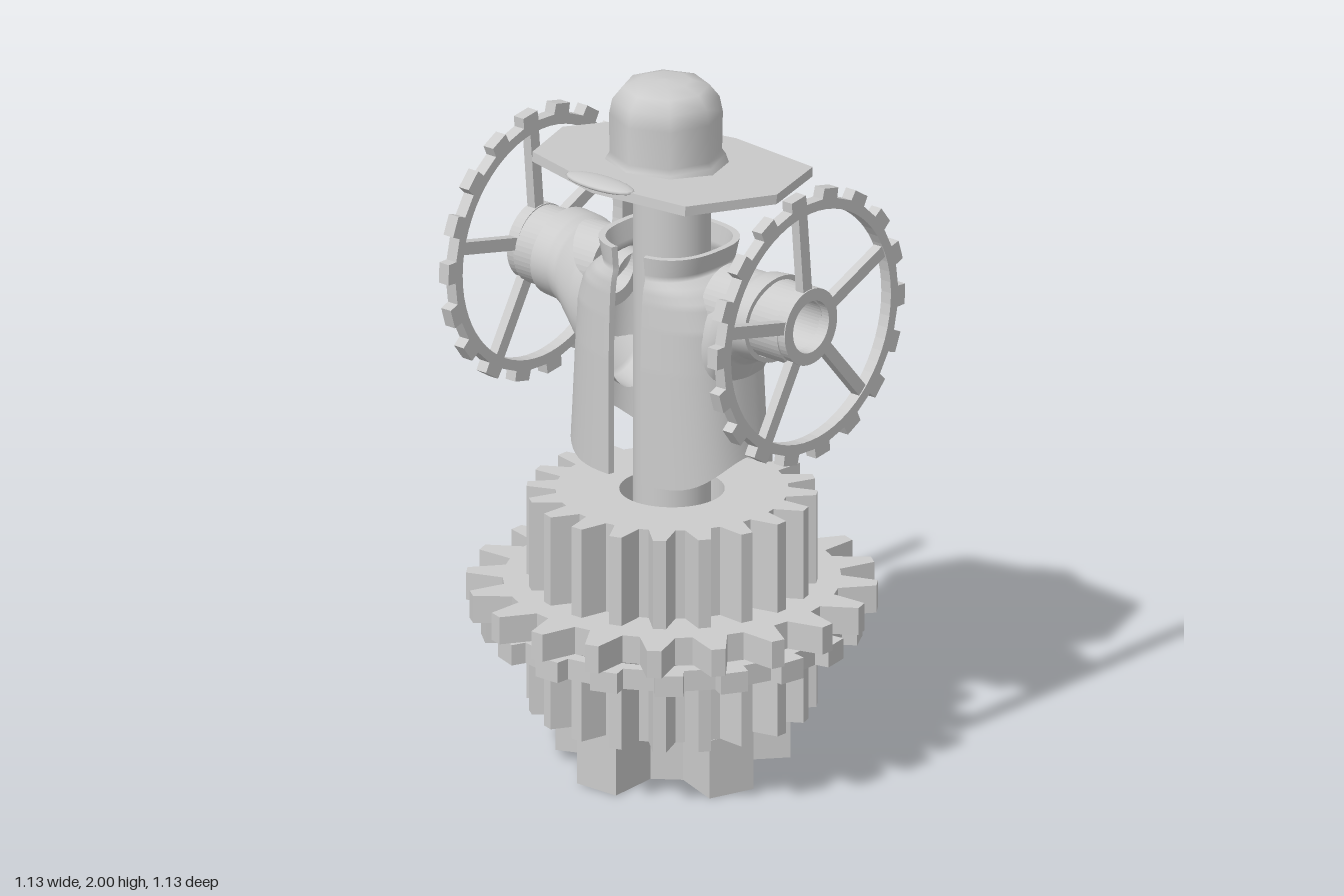
import * as THREE from 'three';
import { ParametricGeometry } from 'three/addons/geometries/ParametricGeometry.js';

const material = new THREE.MeshStandardMaterial({ color: 0xcccccc });
const flat = new THREE.MeshStandardMaterial({ color: 0xcccccc, flatShading: true });
const cloth = new THREE.MeshStandardMaterial({ color: 0xcccccc, side: THREE.DoubleSide });

function add(parent, name, geometry, mat = material) {
  const mesh = new THREE.Mesh(geometry, mat);
  mesh.name = name;
  parent.add(mesh);
  return mesh;
}

// Toothed disc in the XY plane; root and tip are tooth half-angles in radians
function gearGeometry({ teeth, rRoot, rTip, root, tip, hole, depth, start = Math.PI / 2 }) {
  const shape = new THREE.Shape();
  const points = [];
  for (let i = 0; i < teeth; i++) {
    const a = start + (i / teeth) * Math.PI * 2;
    for (const [r, off] of [[rRoot, -root], [rTip, -tip], [rTip, tip], [rRoot, root]]) {
      points.push(new THREE.Vector2(r * Math.cos(a + off), r * Math.sin(a + off)));
    }
  }
  shape.setFromPoints(points);
  if (hole) shape.holes.push(new THREE.Path().absarc(0, 0, hole, 0, Math.PI * 2, true));
  return new THREE.ExtrudeGeometry(shape, { depth, bevelEnabled: false, curveSegments: 32 });
}

function ringGeometry(outer, inner, depth) {
  const shape = new THREE.Shape().absarc(0, 0, outer, 0, Math.PI * 2, false);
  shape.holes.push(new THREE.Path().absarc(0, 0, inner, 0, Math.PI * 2, true));
  return new THREE.ExtrudeGeometry(shape, { depth, bevelEnabled: false, curveSegments: 24 });
}

// Spoked wheel with square teeth, facing z and centred on its thickness
function spokedWheel(name) {
  const wheel = new THREE.Group();
  wheel.name = name;
  const t = 0.035;
  add(wheel, 'rim', gearGeometry({
    teeth: 18, rRoot: 0.365, rTip: 0.395, root: 0.085, tip: 0.075, hole: 0.335, depth: t, start: 1.7,
  })).position.z = -t / 2;
  add(wheel, 'hub', ringGeometry(0.11, 0.075, t)).position.z = -t / 2;
  for (let i = 0; i < 5; i++) {
    const a = THREE.MathUtils.degToRad(95 + i * 72);
    const spoke = add(wheel, 'spoke', new THREE.BoxGeometry(0.25, 0.036, t * 0.8));
    spoke.position.set(Math.cos(a) * 0.222, Math.sin(a) * 0.222, 0);
    spoke.rotation.z = a;
  }
  return wheel;
}

// Interpolates rows whose first entry is the key
function sample(rows, key) {
  let i = 0;
  while (i < rows.length - 2 && key > rows[i + 1][0]) i++;
  const k = THREE.MathUtils.clamp((key - rows[i][0]) / (rows[i + 1][0] - rows[i][0]), 0, 1);
  return rows[i].map((v, j) => v + (rows[i + 1][j] - v) * k);
}

// Coat body: height, half width, front depth, back depth
const coatRows = [
  [0.88, 0.295, 0.2, 0.165], [1.05, 0.285, 0.2, 0.165], [1.22, 0.275, 0.2, 0.165],
  [1.34, 0.268, 0.197, 0.165], [1.41, 0.245, 0.194, 0.162], [1.45, 0.21, 0.19, 0.158],
  [1.475, 0.165, 0.184, 0.15], [1.545, 0.182, 0.19, 0.158],
];

function coatPoint(u, v, t, target) {
  const e = 0.75;
  const y = 0.88 + v * 0.665;
  const [, hw, front, back] = sample(coatRows, y);
  const inset = t * 0.018;
  const gap = Math.asin(Math.pow(0.058 / hw, 1 / e));
  const a = gap + u * (Math.PI * 2 - gap * 2);
  const s = Math.sin(a), c = Math.cos(a);
  const bend = (n) => Math.sign(n) * Math.pow(Math.abs(n), e);
  // The hem rises in an arch at both sides
  const lift = 0.09 * Math.pow(s, 4) * Math.pow(1 - v, 3);
  target.set((hw - inset) * bend(s), y + lift, ((c > 0 ? front : back) - inset) * bend(c));
}

function createCoat() {
  const coat = new THREE.Group();
  coat.name = 'coat';
  const sheet = (name, fn, nu, nv) => add(coat, name, new ParametricGeometry(fn, nu, nv), cloth);
  sheet('coatOutside', (u, v, p) => coatPoint(u, v, 0, p), 64, 38);
  sheet('coatLining', (u, v, p) => coatPoint(u, v, 1, p), 64, 38);
  for (const end of [0, 1]) {
    sheet(end ? 'collarEdge' : 'hemEdge', (u, v, p) => coatPoint(u, end, v, p), 64, 1);
    sheet('frontEdge', (u, v, p) => coatPoint(end, u, v, p), 38, 1);
  }
  // Sleeves: x, top, bottom, half depth
  const rows = [
    [0.14, 1.455, 1.06, 0.12], [0.2, 1.465, 1.08, 0.135], [0.25, 1.48, 1.14, 0.14],
    [0.28, 1.493, 1.2, 0.143], [0.3, 1.502, 1.24, 0.145], [0.33, 1.512, 1.266, 0.145],
    [0.39, 1.518, 1.272, 0.145],
  ];
  for (const side of [1, -1]) {
    const sleeve = (u, v, inset, p) => {
      const [x, top, bottom, rz] = sample(rows, 0.14 + v * 0.25);
      const a = u * Math.PI * 2;
      p.set(side * x, (top + bottom) / 2 + Math.cos(a) * ((top - bottom) / 2 - inset),
        Math.sin(a) * (rz - inset));
    };
    sheet('sleeve', (u, v, p) => sleeve(u, v, 0, p), 40, 25);
    sheet('sleeveLining', (u, v, p) => sleeve(u, 0.55 + v * 0.45, 0.014, p), 40, 8);
    sheet('cuffEdge', (u, v, p) => sleeve(u, 1, v * 0.014, p), 40, 1);
  }
  return coat;
}

function createHat() {
  const hat = new THREE.Group();
  hat.name = 'hat';
  // Uneven eight-sided brim, tipped up at the front
  const outline = [[-0.02, -0.29], [0.285, -0.26], [0.38, 0], [0.285, 0.275],
    [-0.02, 0.315], [-0.31, 0.23], [-0.4, 0], [-0.31, -0.21]];
  const shape = new THREE.Shape(outline.map(([x, z]) => new THREE.Vector2(x, -z)));
  const brim = add(hat, 'brim', new THREE.ExtrudeGeometry(shape, { depth: 0.028, bevelEnabled: false }), flat);
  brim.geometry.rotateX(-Math.PI / 2);
  brim.position.y = 1.73;
  brim.rotation.x = -0.075;
  // Small curled lip on the front of the brim
  const lip = add(hat, 'brimLip', new THREE.SphereGeometry(1, 20, 10));
  lip.scale.set(0.12, 0.014, 0.045);
  lip.position.set(-0.01, 1.778, 0.29);
  // Rounded crown on eight sides
  const profile = [[0.175, 1.745], [0.165, 1.775], [0.155, 1.79], [0.157, 1.9], [0.148, 1.945],
    [0.12, 1.98], [0.07, 1.996], [0, 2]].map(([r, y]) => new THREE.Vector2(r, y));
  const crown = add(hat, 'crown', new THREE.LatheGeometry(profile, 8));
  crown.position.set(-0.018, 0, 0.005);
  return hat;
}

export function createModel() {
  const model = new THREE.Group();
  model.name = 'gearFigure';

  // Stacked gears of the base
  const mid = { teeth: 20, rRoot: 0.32, rTip: 0.4, root: 0.115, tip: 0.045 };
  const stack = [
    ['footGear', 0, { teeth: 5, rRoot: 0.17, rTip: 0.325, root: 0.36, tip: 0.22, hole: 0.06, depth: 0.17, start: -Math.PI / 2 }],
    ['lowerGear', 0.17, { ...mid, depth: 0.215 }],
    ['sprocketRing', 0.385, { teeth: 18, rRoot: 0.485, rTip: 0.527, root: 0.085, tip: 0.075, hole: 0.445, depth: 0.06 }],
    ['sprocketCore', 0.385, { ...mid, depth: 0.075 }],
    ['wideGear', 0.455, { teeth: 20, rRoot: 0.465, rTip: 0.566, root: 0.105, tip: 0.036, depth: 0.08 }],
    ['upperGear', 0.535, { ...mid, hole: 0.145, depth: 0.26 }],
  ];
  for (const [name, y, options] of stack) {
    const gear = add(model, name, gearGeometry(options));
    gear.rotation.x = -Math.PI / 2;
    gear.position.y = y;
  }

  // Central post
  add(model, 'post', new THREE.CylinderGeometry(0.108, 0.108, 1.24, 40)).position.y = 1.15;

  model.add(createCoat(), createHat());

  // Arm axles and wheels
  for (const side of [1, -1]) {
    const axle = add(model, 'armAxle', ringGeometry(0.112, 0.075, 0.28));
    axle.rotation.y = side * Math.PI / 2;
    axle.position.set(side * 0.2, 1.395, 0);
    const wheel = spokedWheel('armWheel');
    wheel.rotation.y = Math.PI / 2;
    wheel.position.set(side * 0.488, 1.4, 0);
    model.add(wheel);
  }
  return model;
}
